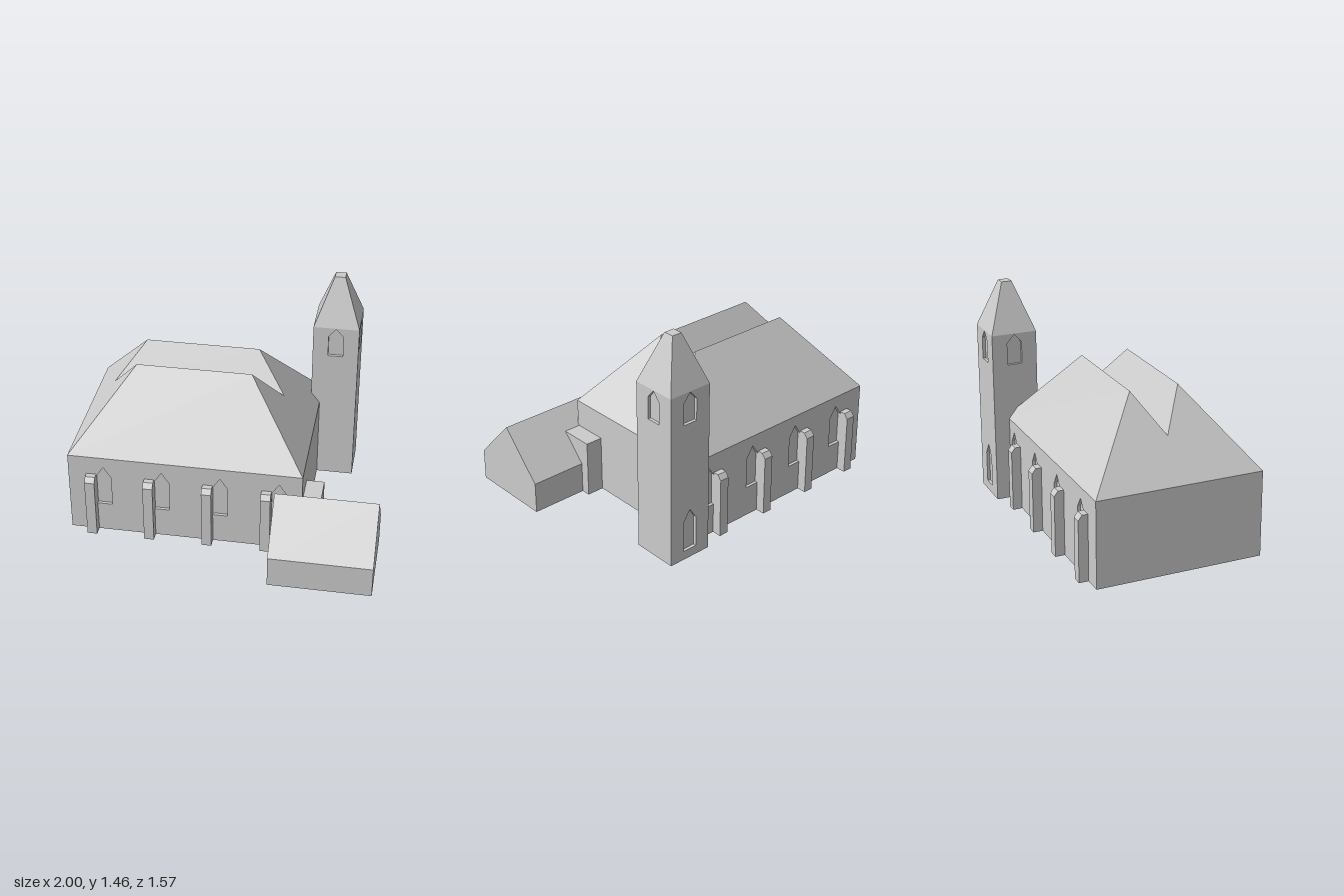
import * as THREE from 'three';

const stone = new THREE.MeshStandardMaterial({ color: 0xcccccc });
stone.name = 'pale stone';

const RECESS = 0.02; // depth of the window niches

function add(parent, name, geometry, x = 0, y = 0, z = 0) {
  const mesh = new THREE.Mesh(geometry, stone);
  mesh.name = name;
  mesh.position.set(x, y, z);
  parent.add(mesh);
  return mesh;
}

// Box given by its lower and upper limits
function addBox(parent, name, x0, x1, y0, y1, z0, z1) {
  return add(parent, name, new THREE.BoxGeometry(x1 - x0, y1 - y0, z1 - z0),
    (x0 + x1) / 2, (y0 + y1) / 2, (z0 + z1) / 2);
}

function polygon(points, Type = THREE.Shape) {
  return new Type(points.map(([x, y]) => new THREE.Vector2(x, y)));
}

// Thin wall with pointed openings; each window is [centre x, sill, shoulder, peak]
function wallGeometry(x0, x1, height, windows) {
  const wall = polygon([[x0, 0], [x1, 0], [x1, height], [x0, height]]);
  const w = 0.049;
  for (const [x, sill, shoulder, peak] of windows) {
    wall.holes.push(polygon(
      [[x - w, sill], [x - w, shoulder], [x, peak], [x + w, shoulder], [x + w, sill]], THREE.Path));
  }
  return new THREE.ExtrudeGeometry(wall, { depth: RECESS, bevelEnabled: false });
}

// Extrude a (z, y) profile along x from x0 to x1
function alongX(points, x0, x1) {
  const geometry = new THREE.ExtrudeGeometry(
    polygon(points.map(([z, y]) => [-z, y])), { depth: x1 - x0, bevelEnabled: false });
  return geometry.rotateY(Math.PI / 2).translate(x0, 0, 0);
}

// Twin-ridged hipped roof with a valley between the ridges
function naveRoofGeometry() {
  const p = {
    A: [-1, 0.56, 0.4], B: [0.51, 0.56, 0.4], C: [0.51, 0.56, -0.685], D: [-1, 0.56, -0.685],
    E: [-0.615, 1.045, 0.015], F: [0.125, 1.045, 0.015], // front ridge
    G: [-0.805, 0.805, -0.14], H: [0.315, 0.805, -0.14], // valley
    I: [-0.615, 1.045, -0.3], J: [0.125, 1.045, -0.3], // rear ridge
  };
  const faces = ['ABF', 'AFE', 'EFH', 'EHG', 'GHJ', 'GJI', 'IJC', 'ICD', // slopes
    'HFB', 'HBC', 'HCJ', 'GAE', 'GDA', 'GID']; // hips
  const geometry = new THREE.BufferGeometry();
  geometry.setAttribute('position', new THREE.Float32BufferAttribute(
    faces.flatMap((face) => [...face].flatMap((key) => p[key])), 3));
  geometry.computeVertexNormals();
  return geometry;
}

function buildNave() {
  const nave = new THREE.Group();
  nave.name = 'nave';
  const bays = [0, 1, 2, 3].map((i) => -0.85 + i * 0.378);
  const wall = wallGeometry(-1, 0.51, 0.56, bays.map((x) => [x + 0.08, 0.205, 0.415, 0.49]));

  addBox(nave, 'naveCore', -1, 0.51, 0, 0.56, -0.685 + RECESS, 0.4 - RECESS);
  add(nave, 'naveFrontWall', wall, 0, 0, 0.4 - RECESS);
  add(nave, 'naveBackWall', wall, 0, 0, -0.685);
  add(nave, 'naveRoof', naveRoofGeometry());

  // Buttresses with a chamfered top, mirrored front to back
  const profile = [[-0.01, 0], [0.062, 0], [0.062, 0.4], [0.037, 0.433], [-0.01, 0.433]];
  const buttress = alongX(profile, -0.032, 0.032);
  for (const x of bays) {
    add(nave, 'frontButtress', buttress, x, 0, 0.4);
    add(nave, 'backButtress', buttress, x, 0, -0.685).rotation.y = Math.PI;
  }
  return nave;
}

function buildTower() {
  const tower = new THREE.Group();
  tower.name = 'tower';
  tower.position.set(0.602, 0, -0.635);
  const half = 0.15, height = 1.137, inner = half - RECESS;
  const belfry = [0, 0.93, 1.075, 1.132];

  addBox(tower, 'towerCore', -inner, inner, 0, height, -inner, inner);
  add(tower, 'towerFrontWall', wallGeometry(-half, half, height, [belfry]), 0, 0, inner);
  add(tower, 'towerBackWall',
    wallGeometry(-half, half, height, [belfry, [0, 0.06, 0.265, 0.34]]), 0, 0, -half);
  const side = wallGeometry(-inner, inner, height, [belfry]);
  add(tower, 'towerLeftWall', side, inner, 0, 0).rotation.y = Math.PI / 2;
  add(tower, 'towerRightWall', side, -half, 0, 0).rotation.y = Math.PI / 2;

  // Truncated four-sided spire
  const spire = new THREE.CylinderGeometry(0.034 * Math.SQRT2, half * Math.SQRT2, 0.318, 4)
    .rotateY(Math.PI / 4).toNonIndexed();
  spire.computeVertexNormals();
  add(tower, 'towerSpire', spire, 0, height + 0.159, 0);
  return tower;
}

export function createModel() {
  const model = new THREE.Group();
  model.name = 'church';
  model.add(buildNave(), buildTower());

  // Gabled annex at the front corner, joined to the nave by a flat-topped passage
  const gable = [[0.225, 0], [0.785, 0], [0.785, 0.207], [0.505, 0.5], [0.225, 0.207]];
  add(model, 'annex', alongX(gable, 0.347, 1));
  addBox(model, 'passage', 0.45, 0.625, 0, 0.378, 0.165, 0.42);
  return model;
}
